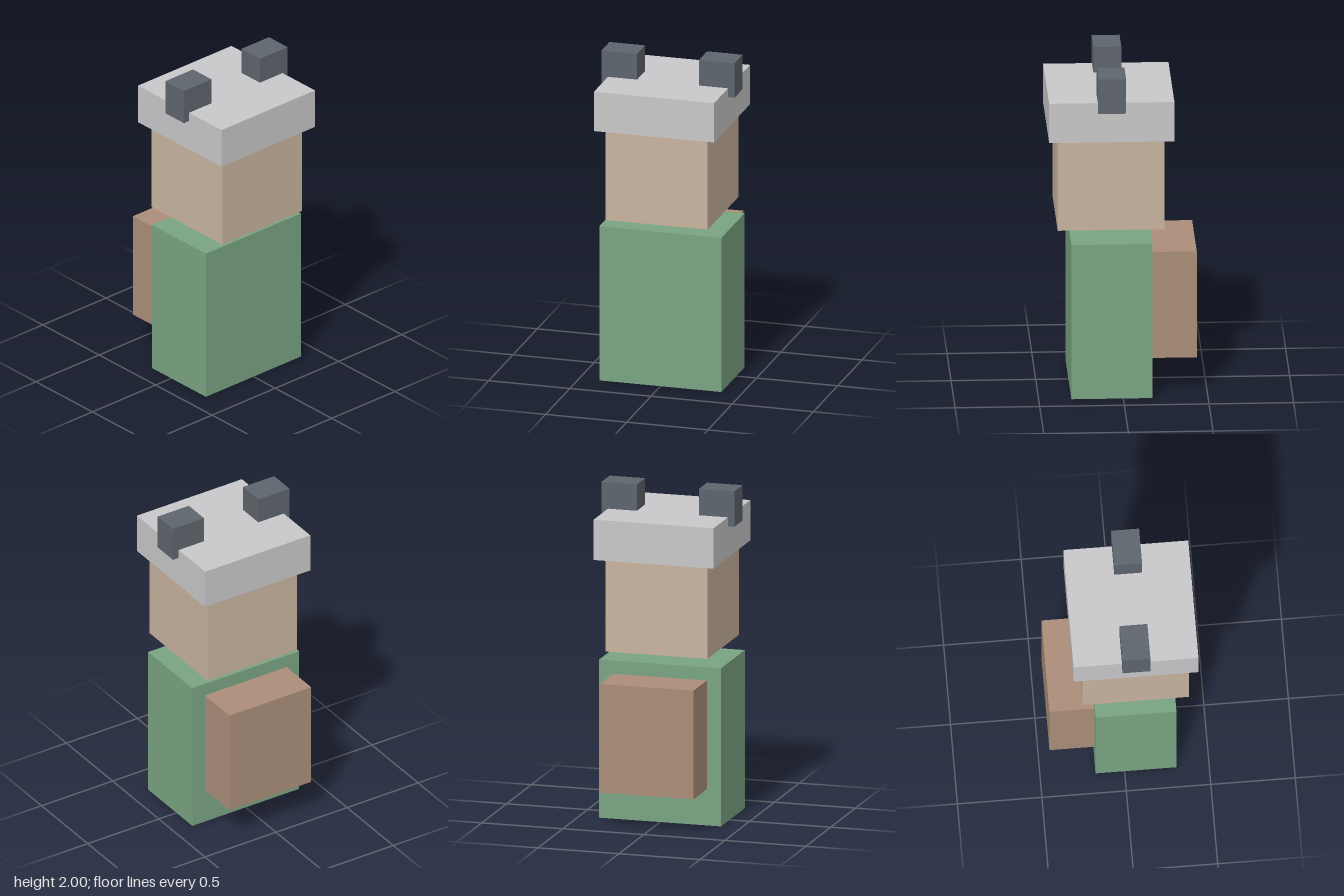
import * as THREE from 'three';

const material = (name, color) => {
  const m = new THREE.MeshStandardMaterial({ color });
  m.name = name;
  return m;
};

export function createModel() {
  const green = material('green cloth', 0x79a482);
  const brown = material('brown leather', 0xab8e79);
  const tan = material('tan skin', 0xc8b49f);
  const grey = material('light grey', 0xc8c8ca);
  const slate = material('dark slate', 0x5e656d);

  const model = new THREE.Group();
  model.name = 'blockFigure';

  // Box given by its lowest and highest corners
  const box = (name, mat, [x0, y0, z0], [x1, y1, z1]) => {
    const mesh = new THREE.Mesh(new THREE.BoxGeometry(x1 - x0, y1 - y0, z1 - z0), mat);
    mesh.position.set((x0 + x1) / 2, (y0 + y1) / 2, (z0 + z1) / 2);
    mesh.name = name;
    model.add(mesh);
  };

  // Body with a pack on the back
  box('body', green, [-0.376, 0, -0.172], [0.376, 0.96, 0.307]);
  box('backpack', brown, [-0.288, 0.22, -0.438], [0.288, 0.88, -0.172]);

  // Floating head and its cap
  box('head', tan, [-0.315, 1.03, -0.245], [0.315, 1.595, 0.385]);
  box('cap', grey, [-0.37, 1.595, -0.302], [0.37, 1.84, 0.438]);

  // Ear blocks set into the cap and overhanging its sides
  box('leftEar', slate, [0.191, 1.785, -0.015], [0.41, 2, 0.15]);
  box('rightEar', slate, [-0.41, 1.785, -0.015], [-0.191, 2, 0.15]);

  return model;
}
